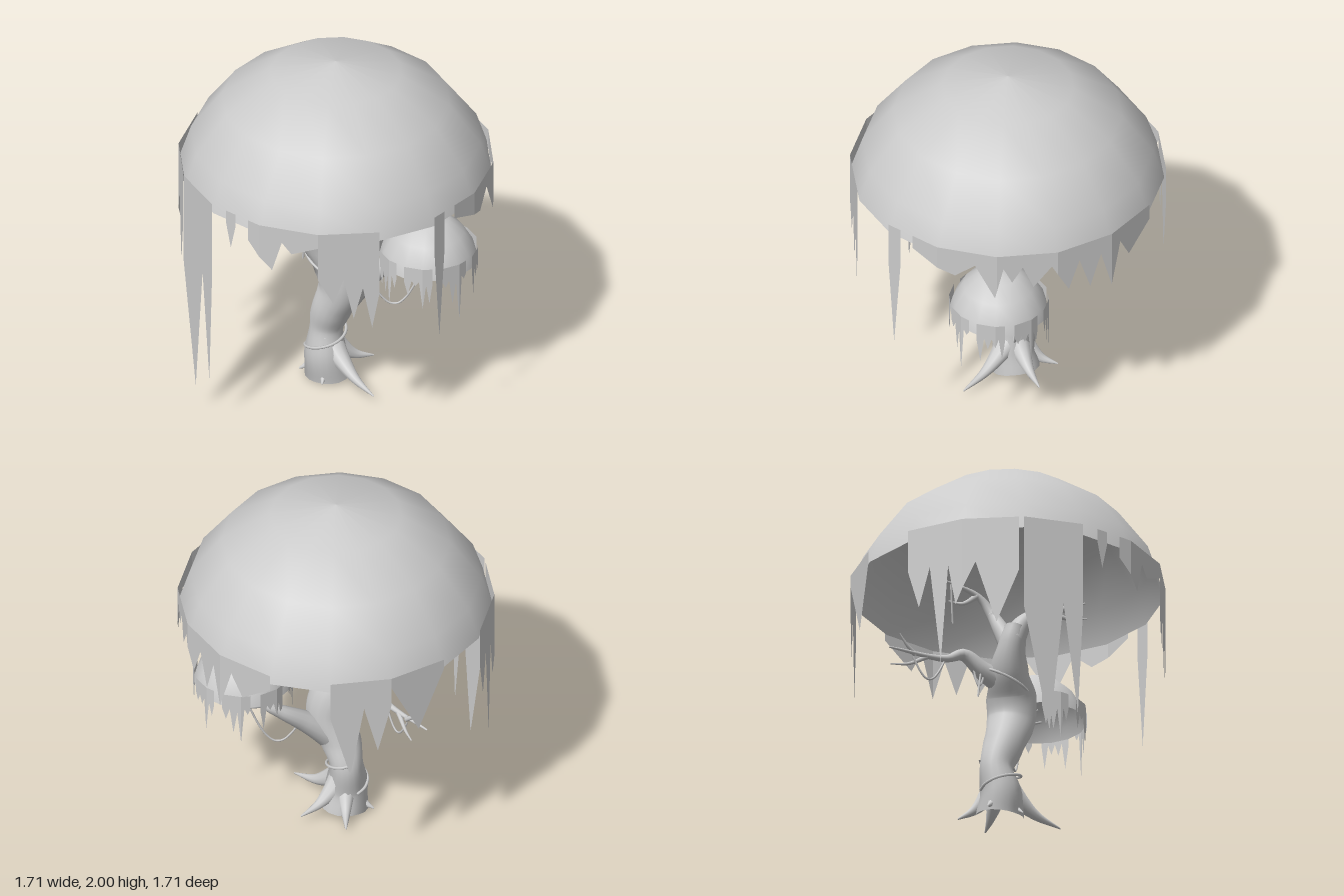
import * as THREE from 'three';

const wood = new THREE.MeshStandardMaterial({ color: 0xcccccc });
const thin = new THREE.MeshStandardMaterial({ color: 0xcccccc, side: THREE.DoubleSide });
const { lerp } = THREE.MathUtils;
const vec = (x, y, z) => new THREE.Vector3(x, y, z);

function add(parent, name, geometry, material) {
  const mesh = new THREE.Mesh(geometry, material);
  mesh.name = name;
  parent.add(mesh);
}

function group(parent, name) {
  const g = new THREE.Group();
  g.name = name;
  parent.add(g);
  return g;
}

// Tube along points whose radius follows radius(t); lobes make it gnarled
function limb(parent, name, points, radius, sides = 10, lobes = 0) {
  const curve = new THREE.CatmullRomCurve3(points);
  const steps = points.length * 6;
  const geo = new THREE.TubeGeometry(curve, steps, 1, sides, false);
  const pos = geo.attributes.position;
  const v = vec(0, 0, 0);
  for (let i = 0; i <= steps; i++) {
    const centre = curve.getPointAt(i / steps);
    const r = radius(curve.getUtoTmapping(i / steps));
    for (let j = 0; j <= sides; j++) {
      const n = i * (sides + 1) + j;
      const bump = 1 + lobes * Math.sin(j / sides * Math.PI * 6 + i * 0.12);
      v.fromBufferAttribute(pos, n).sub(centre).multiplyScalar(r * bump).add(centre);
      pos.setXYZ(n, v.x, v.y, v.z);
    }
  }
  add(parent, name, geo, wood);
}

const taper = (a, b) => t => lerp(a, b, Math.pow(t, 0.8));

// Vine sagging between two points
function vine(parent, a, b, sag) {
  const points = [];
  for (let i = 0; i <= 8; i++) {
    const p = a.clone().lerp(b, i / 8);
    p.y -= sag * Math.sin(i / 8 * Math.PI);
    points.push(p);
  }
  limb(parent, 'vine', points, () => 0.006, 6);
}

// Vine wound round the trunk from one height to another
function woundVine(parent, y0, y1, x0, x1, r, start, turn) {
  const points = [];
  for (let i = 0; i <= 12; i++) {
    const t = i / 12, a = start + turn * t;
    points.push(vec(lerp(x0, x1, t) + r * Math.sin(a), lerp(y0, y1, t), r * Math.cos(a)));
  }
  limb(parent, 'woundVine', points, () => 0.008, 6);
}

// Point on a 16-sided rim; u counts sides from the front towards +x
function rimPoint(u, radius) {
  const k = Math.floor(u), s = Math.PI / 8;
  return [Math.sin, Math.cos].map(f => radius * lerp(f(k * s), f((k + 1) * s), u - k));
}

// Ragged sheet from rim position u0 to u1; spikes are [u, tip y], and the
// notches between them reach down by the share "full" of the shorter spike
function curtain(parent, radius, top, hem, u0, u1, full, ...spikes) {
  const notch = y => lerp(hem, y, full);
  const edge = [[u0, notch(spikes[0][1])]];
  spikes.forEach(([u, y], i) => {
    if (i) edge.push([(u + spikes[i - 1][0]) / 2, notch(Math.max(y, spikes[i - 1][1]))]);
    edge.push([u, y]);
  });
  edge.push([u1, notch(spikes.at(-1)[1])]);

  const verts = [];
  for (let i = 1; i < edge.length; i++) {
    const [a, ya] = edge[i - 1], [b, yb] = edge[i];
    const cuts = [a];
    for (let k = Math.floor(a) + 1; k < b; k++) cuts.push(k);
    cuts.push(b);
    for (let c = 1; c < cuts.length; c++) {
      const [p, q] = [cuts[c - 1], cuts[c]].map(u => {
        const [x, z] = rimPoint(u, radius);
        return { low: [x, lerp(ya, yb, (u - a) / (b - a)), z], high: [x, top, z] };
      });
      verts.push(...p.high, ...p.low, ...q.low, ...p.high, ...q.low, ...q.high);
    }
  }
  const geo = new THREE.BufferGeometry();
  geo.setAttribute('position', new THREE.Float32BufferAttribute(verts, 3));
  geo.computeVertexNormals();
  add(parent, 'hangingLeaves', geo, thin);
}

// Sixteen-sided dome with five rings, flatter than a sphere near its rim
function dome(parent, name, radius, base, height) {
  const profile = [];
  for (let i = 0; i <= 4; i++) {
    const a = i / 4 * Math.PI / 2;
    profile.push(new THREE.Vector2(radius * Math.pow(Math.cos(a), 0.9), base + height * Math.pow(Math.sin(a), 1.35)));
  }
  profile[4].x = 0;
  add(parent, name, new THREE.LatheGeometry(profile, 16), thin);
}

export function createModel() {
  const model = new THREE.Group();
  model.name = 'tree';

  // Large canopy with its hanging leaves, going round from the front
  const canopy = group(model, 'canopy');
  dome(canopy, 'canopyDome', 0.845, 1.36, 0.64);
  const hang = (...args) => curtain(canopy, 0.855, 1.42, 1.36, ...args);
  hang(-0.24, 1, 0.3, [0.22, 1.15], [0.55, 1.27]);
  hang(1, 2, 0.6, [0.25 + 1, 0.98], [1.58, 0.88], [1.88, 0.82]);
  hang(3, 3.25, 0.25, [3.12, 0.65]);
  hang(3.5, 8, 0.2, [4.3, 1.25], [4.97, 1.14], [5.25, 1.24], [5.6, 1.2], [6.2, 1.15], [6.6, 1.12], [7, 1.08], [7.45, 1.2]);
  hang(9, 10, 0.3, [9.33, 0.8], [9.78, 0.95]);
  hang(10, 11, 0, [10.52, 1.02]);
  hang(12, 13.92, 0.45, [12.2, 0.95], [12.6, 0.6], [12.87, 0.92], [13.55, 0.8]);
  hang(14, 15, 0.4, [14.43, 0.17], [14.91, 0.29]);
  hang(15.3, 15.5, 0.1, [15.4, 1.2]);

  // Small side canopy with groups of short spikes all round
  const small = group(model, 'smallCanopy');
  small.position.set(0.47, 0, -0.18);
  dome(small, 'smallCanopyDome', 0.267, 0.81, 0.26);
  for (let i = 0; i < 8; i++) {
    const u = i * 2;
    const spikes = [0.2, 0.6, 1, 1.35].map((d, j) => [u + d, 0.71 + 0.07 * Math.sin(i * 2.3 + j * 1.9)]);
    spikes[2][1] -= i % 3 === 1 ? 0.16 : 0.03;
    curtain(small, 0.27, 0.885, 0.81, u, u + 1.5, 0.2, ...spikes);
  }

  // Trunk: leaning S-curve that swells in the middle
  const timber = group(model, 'timber');
  const radii = [0.13, 0.115, 0.09, 0.11, 0.13, 0.135, 0.105, 0.075, 0.06];
  limb(timber, 'trunk', [
    vec(-0.05, 0.02, -0.02), vec(-0.06, 0.14, 0), vec(-0.07, 0.3, -0.02), vec(-0.03, 0.44, 0), vec(0.03, 0.6, 0),
    vec(0.01, 0.73, 0.01), vec(-0.06, 0.86, 0.05), vec(-0.08, 1, 0.09), vec(-0.07, 1.1, 0.11)
  ], t => {
    const k = Math.min(Math.floor(t * 8), 7);
    return lerp(radii[k], radii[k + 1], THREE.MathUtils.smoothstep(t * 8 - k, 0, 1));
  }, 18, 0.06);

  // Roots sweep from inside the trunk to their tips
  const core = vec(-0.06, 0.24, -0.01);
  [vec(0.3, 0.03, 0.12), vec(0.1, 0.04, -0.24), vec(-0.21, 0.01, 0.03), vec(-0.16, 0.02, -0.22), vec(-0.02, 0.01, 0.12)].forEach(tip => {
    const points = [0, 0.3, 0.6, 1].map(t => {
      const p = core.clone().lerp(tip, t);
      p.y = tip.y + (core.y - tip.y) * (1 - t) ** 1.8;
      return p;
    });
    limb(timber, 'root', points, taper(0.085, 0.004));
  });

  // Branches: upper left and right, then lower left and right
  const branch = (r, ...points) => limb(timber, 'branch', points, taper(r, 0.005), 12);
  branch(0.068, vec(-0.08, 0.98, 0.09), vec(-0.08, 1.1, 0.02), vec(-0.08, 1.22, -0.05), vec(-0.14, 1.32, -0.1), vec(-0.34, 1.37, -0.18));
  branch(0.07, vec(-0.08, 1.02, 0.1), vec(-0.03, 1.13, 0.13), vec(0.05, 1.2, 0.15), vec(0.2, 1.27, 0.21), vec(0.35, 1.35, 0.25));
  branch(0.075, vec(-0.05, 0.78, 0.03), vec(-0.17, 0.84, -0.03), vec(-0.27, 0.92, -0.09), vec(-0.36, 0.88, -0.14), vec(-0.67, 0.88, -0.28));
  branch(0.085, vec(0.04, 0.5, -0.04), vec(0.13, 0.6, -0.13), vec(0.22, 0.69, -0.22), vec(0.31, 0.75, -0.27), vec(0.53, 0.84, -0.2));

  // Twigs, each kinked at the middle
  const twig = (r, a, b, kink) => {
    const mid = a.clone().lerp(b, 0.5);
    mid.y += kink;
    limb(timber, 'twig', [a, mid, b], taper(r, 0.004), 8);
  };
  twig(0.035, vec(-0.08, 1.2, -0.04), vec(-0.05, 1.42, 0), -0.02);
  twig(0.03, vec(0.06, 1.21, 0.16), vec(0.3, 1.4, 0.08), 0.02);
  twig(0.02, vec(0.13, 1.24, 0.18), vec(0.34, 1.25, 0.27), -0.02);
  twig(0.02, vec(-0.14, 1.32, -0.1), vec(-0.24, 1.29, -0.22), -0.03);
  twig(0.016, vec(-0.46, 0.87, -0.19), vec(-0.6, 0.82, -0.33), -0.02);
  twig(0.016, vec(-0.52, 0.87, -0.22), vec(-0.62, 0.97, -0.25), -0.01);
  twig(0.022, vec(0.31, 0.75, -0.27), vec(0.5, 0.76, -0.33), -0.03);
  twig(0.024, vec(0.26, 0.72, -0.24), vec(0.38, 0.83, -0.1), 0.01);

  // Hanging and wound vines
  const vines = group(model, 'vines');
  vine(vines, vec(0.13, 0.64, -0.1), vec(0.43, 0.77, -0.26), 0.25);
  vine(vines, vec(0.05, 1.21, 0.18), vec(0.17, 1.25, 0.2), 0.295);
  vine(vines, vec(-0.36, 0.88, -0.14), vec(-0.53, 0.86, -0.23), 0.13);
  vine(vines, vec(-0.18, 0.85, -0.01), vec(-0.23, 0.88, -0.06), 0.12);
  vine(vines, vec(-0.29, 1.36, -0.16), vec(-0.25, 1.14, -0.18), 0.02);
  vine(vines, vec(-0.2, 0.87, -0.02), vec(-0.22, 0.67, -0.03), 0);
  vine(vines, vec(0.25, 1.28, 0.22), vec(0.27, 1.15, 0.22), 0);
  woundVine(vines, 0.15, 0.35, -0.065, -0.065, 0.112, -2.2, 6);
  woundVine(vines, 0.62, 0.86, 0.02, -0.05, 0.138, 1.8, -3.6);

  return model;
}
